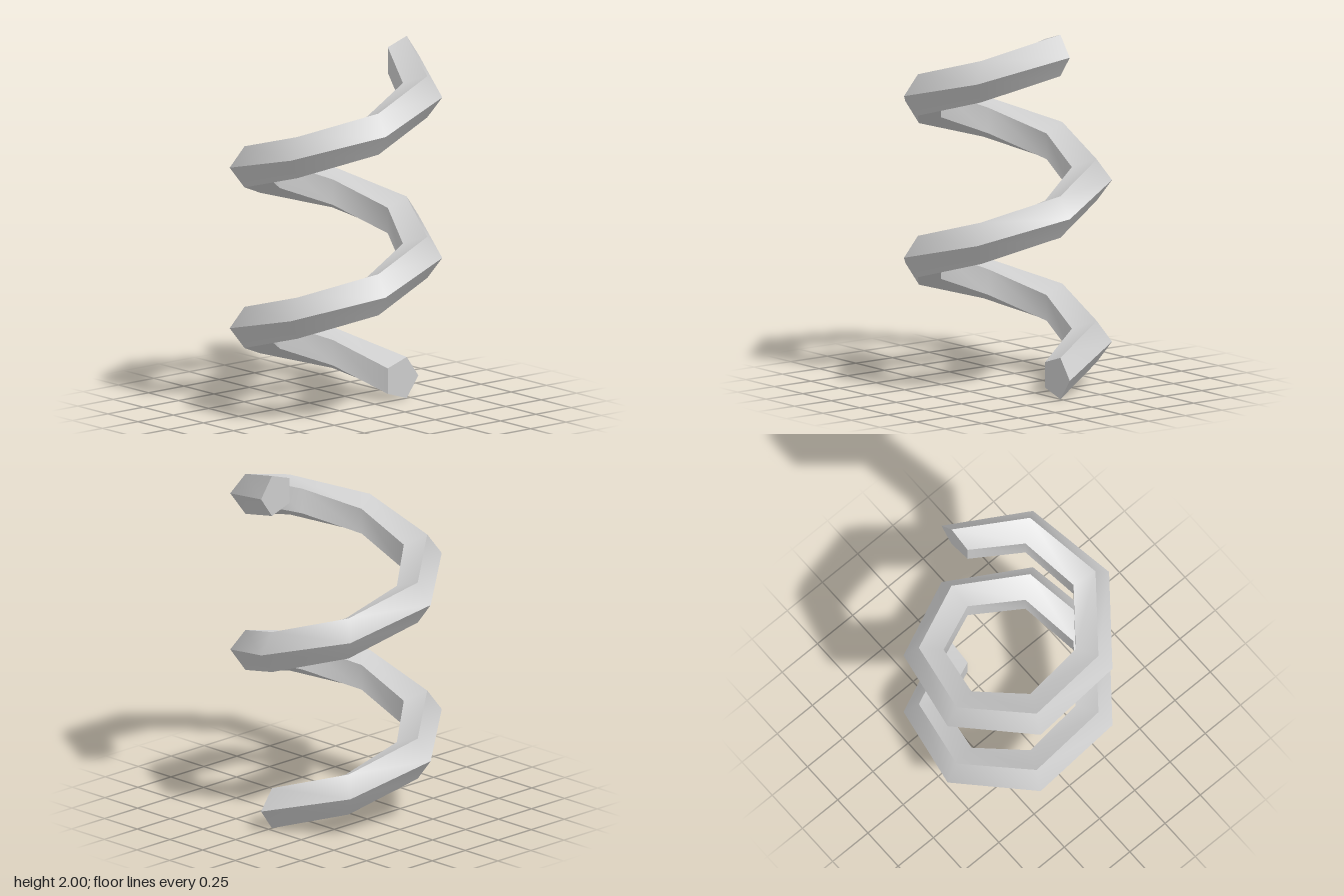
import * as THREE from 'three';
import { mergeGeometries } from 'three/addons/utils/BufferGeometryUtils.js';

const SIDES = 5, STEPS = 7, TURNS = 2;
const RADIUS = 0.468, TUBE = 0.1195, PITCH = 0.8865;
const BASE = TUBE * Math.sin(Math.PI * 2 / SIDES); // lowest corner rests on y = 0
const SHIFT = -0.0305; // centres the seven-sided outline in x

// Corner j of the upright pentagonal section at step i of the helix
function corner(i, j) {
  const turn = (i / STEPS) * Math.PI * 2;
  const phi = (j / SIDES) * Math.PI * 2;
  const r = RADIUS + TUBE * Math.cos(phi);
  const y = BASE + PITCH * i / STEPS + TUBE * Math.sin(phi);
  return [SHIFT + r * Math.cos(turn), y, -r * Math.sin(turn)];
}

function makeGeometry(points, index) {
  const g = new THREE.BufferGeometry();
  g.setAttribute('position', new THREE.Float32BufferAttribute(points.flat(), 3));
  g.setIndex(index);
  g.computeVertexNormals();
  return g;
}

// One side of the coil: smooth along its length, sharp at its long edges
function strip(j) {
  const points = [], index = [];
  for (let i = 0; i <= STEPS * TURNS; i++) {
    points.push(corner(i, j), corner(i, j + 1));
    if (i > 0) {
      const a = 2 * i - 2;
      index.push(a, a + 2, a + 1, a + 1, a + 2, a + 3);
    }
  }
  return makeGeometry(points, index);
}

// Flat pentagon closing one end
function cap(i, flip) {
  const points = [], index = [];
  for (let j = 0; j < SIDES; j++) points.push(corner(i, j));
  for (let j = 1; j < SIDES - 1; j++) index.push(0, flip ? j + 1 : j, flip ? j : j + 1);
  return makeGeometry(points, index);
}

export function createModel() {
  const group = new THREE.Group();
  group.name = 'spring';
  const material = new THREE.MeshStandardMaterial({ color: 0xcccccc });
  const add = (name, geometry) => {
    const mesh = new THREE.Mesh(geometry, material);
    mesh.name = name;
    group.add(mesh);
  };

  const strips = [];
  for (let j = 0; j < SIDES; j++) strips.push(strip(j));
  add('coil', mergeGeometries(strips));
  add('bottomEnd', cap(0, false));
  add('topEnd', cap(STEPS * TURNS, true));
  return group;
}
